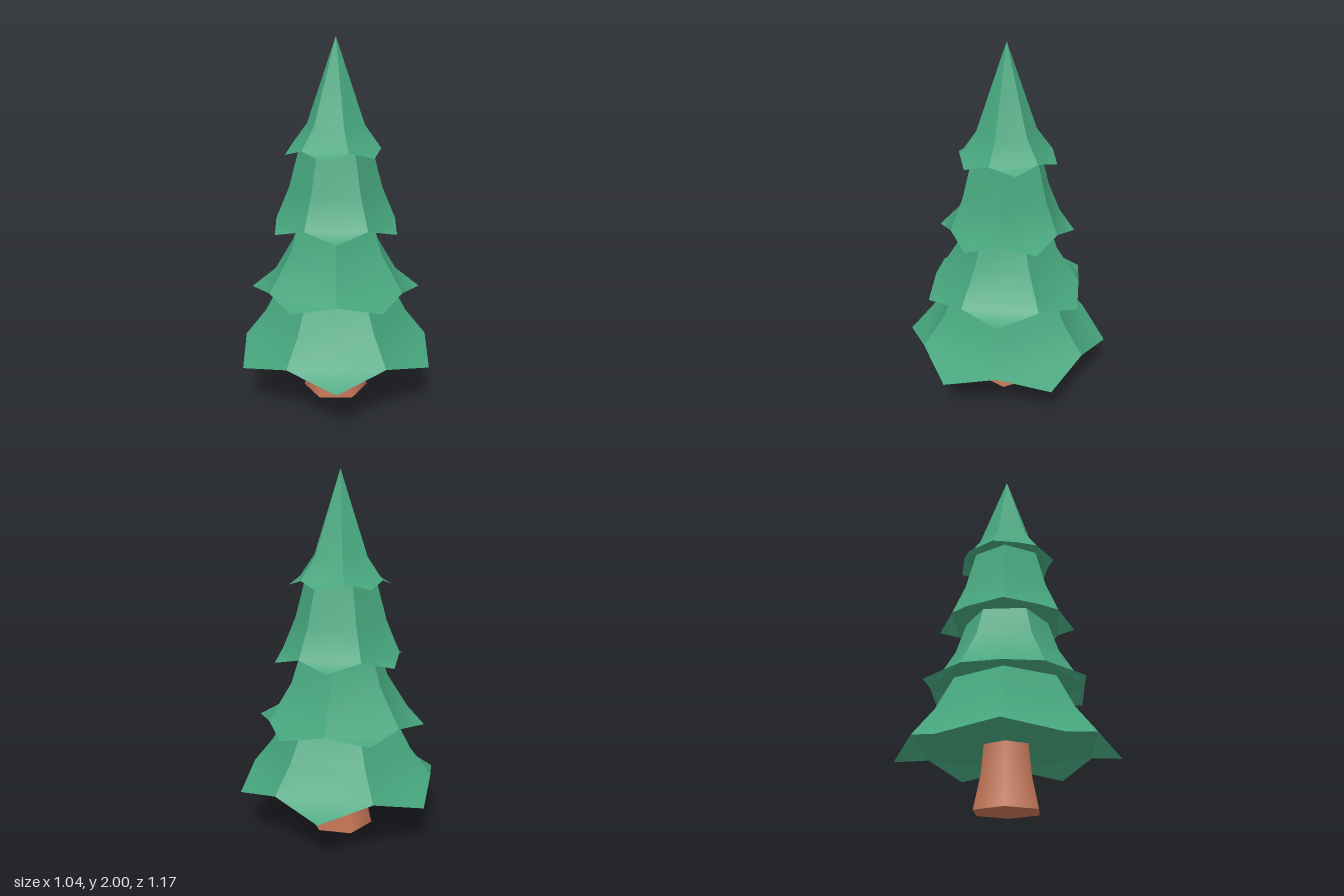
import * as THREE from 'three';
import { mergeGeometries } from 'three/addons/utils/BufferGeometryUtils.js';

const needles = new THREE.MeshStandardMaterial({ color: 0x46a57d, side: THREE.DoubleSide });
needles.name = 'needle green';
const bark = new THREE.MeshStandardMaterial({ color: 0xc27354 });
bark.name = 'bark brown';

const SIXTH = Math.PI / 3;

// One of six skirt panels: smooth within itself, sharp ridges against its neighbours.
// rings = [radius, y] from the hem upwards; tip = [radius, y] of the hanging point.
function panel(rings, tip, angle) {
  const positions = [];
  const add = (r, y, a) => positions.push(r * Math.cos(a), y, r * Math.sin(a));
  for (const [r, y] of rings) {
    add(r, y, angle - SIXTH / 2);
    add(r, y, angle + SIXTH / 2);
  }
  add(tip[0], tip[1], angle);

  const index = [0, 1, rings.length * 2];
  for (let i = 0; i < rings.length - 1; i++) {
    const a = i * 2;
    index.push(a, a + 2, a + 1, a + 2, a + 3, a + 1);
  }
  const geometry = new THREE.BufferGeometry();
  geometry.setAttribute('position', new THREE.Float32BufferAttribute(positions, 3));
  geometry.setIndex(index);
  geometry.computeVertexNormals();
  return geometry;
}

// Hexagonal branch skirt with a flat underside; angle is the direction of its first tip
function branchTier(name, angle, tip, rings) {
  const parts = [];
  for (let k = 0; k < 6; k++) parts.push(panel(rings, tip, angle + k * SIXTH));
  const [hemRadius, hemY] = rings[0];
  const underside = new THREE.CircleGeometry(hemRadius, 6, angle - SIXTH / 2)
    .rotateX(Math.PI / 2).translate(0, hemY, 0);
  underside.deleteAttribute('uv');
  parts.push(underside);
  const mesh = new THREE.Mesh(mergeGeometries(parts), needles);
  mesh.name = name;
  return mesh;
}

export function createModel() {
  const tree = new THREE.Group();
  tree.name = 'pineTree';

  // Flared six-sided trunk with smooth sides
  const profile = [[0.185, 0], [0.147, 0.17], [0.13, 0.34]].map(([r, y]) => new THREE.Vector2(r, y));
  const trunk = new THREE.Mesh(new THREE.LatheGeometry(profile, 6, Math.PI / 6), bark);
  trunk.name = 'trunk';
  const base = new THREE.Mesh(new THREE.CircleGeometry(0.185, 6).rotateX(Math.PI / 2), bark);
  base.name = 'trunkBase';
  tree.add(trunk, base);

  // Four stacked tiers, each turned against the one below
  tree.add(
    branchTier('bottomBranches', Math.PI / 6, [0.585, 0.26],
      [[0.52, 0.33], [0.403, 0.477], [0.295, 0.68]]),
    branchTier('lowerBranches', 0, [0.475, 0.625],
      [[0.415, 0.66], [0.284, 0.865], [0.222, 1.05]]),
    branchTier('upperBranches', Math.PI / 6, [0.375, 0.985],
      [[0.33, 1.03], [0.256, 1.205], [0.19, 1.45]]),
    branchTier('topBranches', Math.PI / 4, [0.28, 1.395],
      [[0.25, 1.43], [0.16, 1.55], [0.001, 2]])
  );
  return tree;
}
